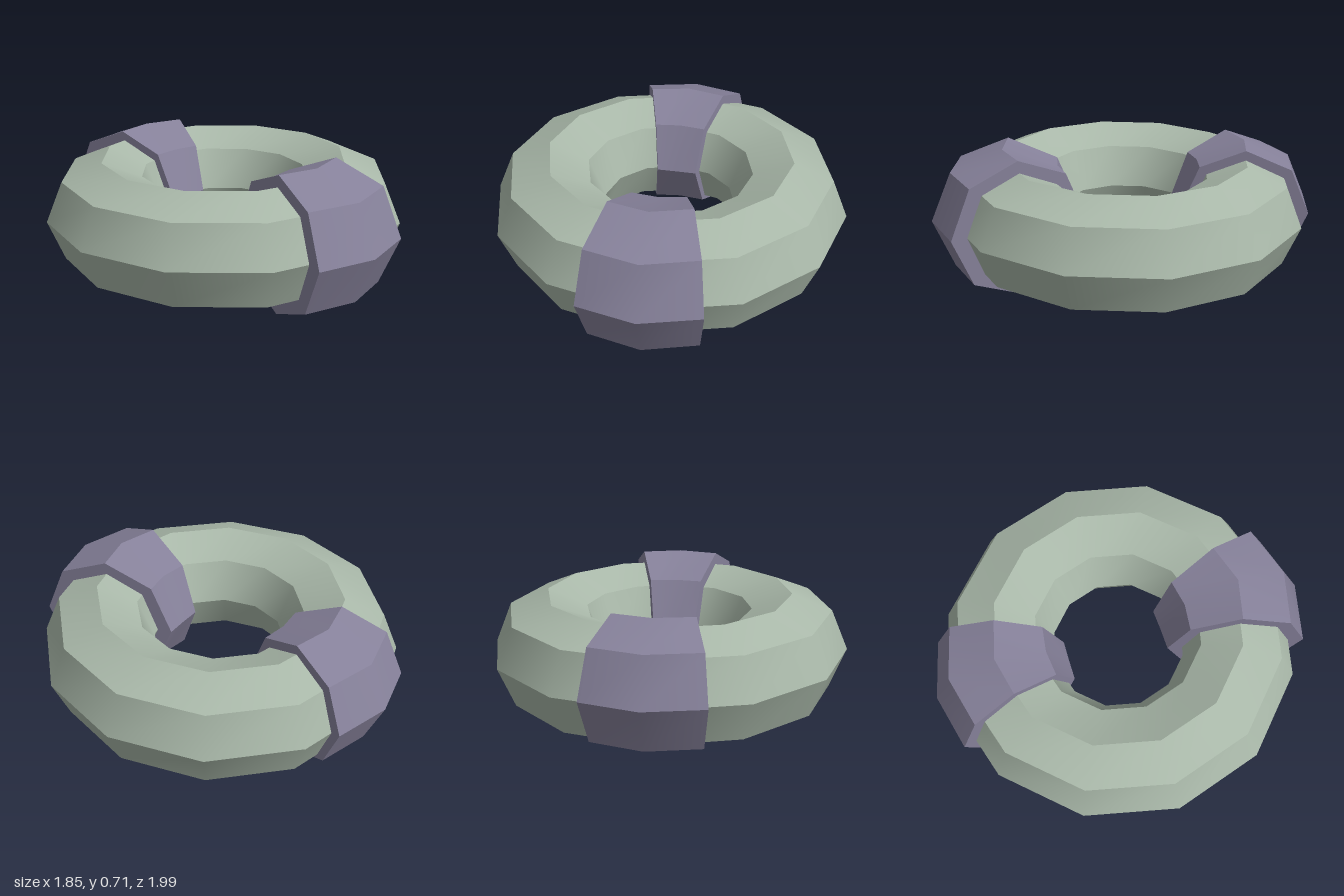
import * as THREE from 'three';
import { toCreasedNormals } from 'three/addons/utils/BufferGeometryUtils.js';

const CREASE = 0.6;

// Closed octagonal band wrapped round the tube: three stations across its width.
// c = +1 on the outside of the ring, -1 on the inside; values are [centre, swing].
function bandGeometry({ width, midZ, sideZ, bulge, height }) {
  const point = (station, k, scale) => {
    const a = (k / 8) * Math.PI * 2;
    const c = Math.cos(a) * scale;
    const s = Math.sin(a) * scale;
    const z = station === 0 ? midZ : sideZ;
    return [
      station * (width[0] + width[1] * c),
      height * s,
      z[0] + z[1] * c + (station === 0 ? bulge * s * s : 0),
    ];
  };
  const positions = [];
  const quad = (a, b, c, d) => positions.push(...a, ...b, ...c, ...a, ...c, ...d);

  for (let k = 0; k < 8; k++) {
    const outer = (s, j) => point(s, j, 1);
    const inner = (s, j) => point(s, j, 0.7);
    for (const s of [-1, 0]) {
      quad(outer(s, k), outer(s + 1, k), outer(s + 1, k + 1), outer(s, k + 1));
      quad(inner(s, k), inner(s, k + 1), inner(s + 1, k + 1), inner(s + 1, k));
    }
    // side walls
    quad(outer(1, k), inner(1, k), inner(1, k + 1), outer(1, k + 1));
    quad(outer(-1, k), outer(-1, k + 1), inner(-1, k + 1), inner(-1, k));
  }
  const geometry = new THREE.BufferGeometry();
  geometry.setAttribute('position', new THREE.Float32BufferAttribute(positions, 3));
  return toCreasedNormals(geometry, CREASE);
}

export function createModel() {
  const group = new THREE.Group();
  const ringMaterial = new THREE.MeshStandardMaterial({ color: 0xa9b8a9 });
  const bandMaterial = new THREE.MeshStandardMaterial({ color: 0x86819a });

  const add = (name, geometry, material, x, y, z) => {
    const mesh = new THREE.Mesh(geometry, material);
    mesh.name = name;
    mesh.position.set(x, y, z);
    group.add(mesh);
    return mesh;
  };

  // Ring lying flat with a very slight tilt
  const torus = new THREE.TorusGeometry(0.635, 0.29, 8, 12).rotateX(-Math.PI / 2);
  const ring = add('ring', toCreasedNormals(torus, CREASE), ringMaterial, 0, 0.35, -0.015);
  ring.rotation.set(-0.012, 0, -0.0055);

  // Front band
  add('frontBand', bandGeometry({
    width: [0.205, 0.095], midZ: [0.608, 0.385], sideZ: [0.568, 0.347], bulge: 0.015, height: 0.355,
  }), bandMaterial, 0, 0.355, 0);

  // Back band, a little slimmer and turned slightly
  const back = add('backBand', bandGeometry({
    width: [0.2, 0.095], midZ: [0.645, 0.355], sideZ: [0.607, 0.318], bulge: 0.01, height: 0.325,
  }), bandMaterial, -0.018, 0.357, 0);
  back.rotation.y = Math.PI - 0.045;

  return group;
}
